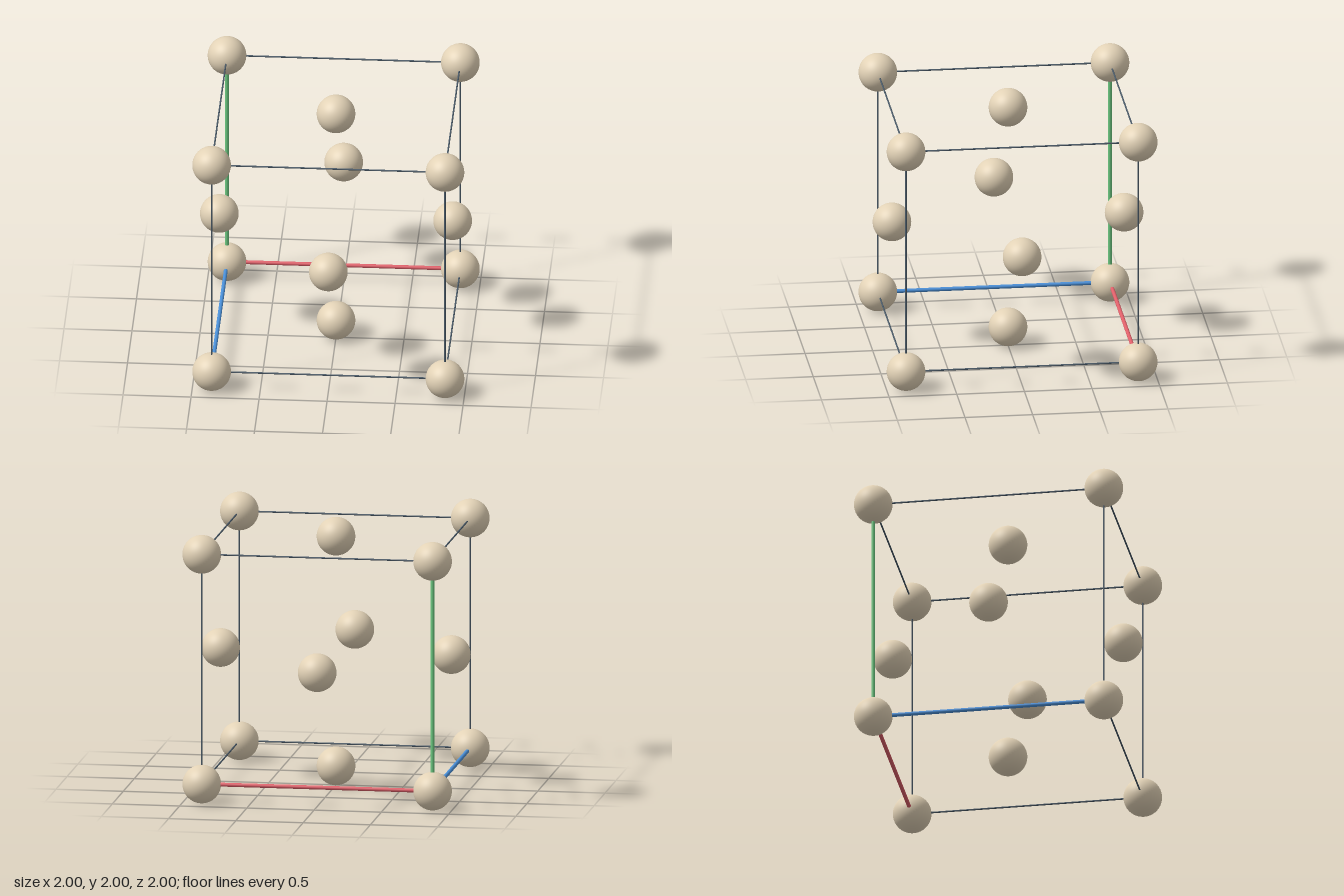
import * as THREE from 'three';

const H = 0.858;          // half the cell edge
const R = 0.142;          // ball radius
const MID = 1;            // height of the cell centre

function material(name, color) {
  const m = new THREE.MeshStandardMaterial({ color });
  m.name = name;
  return m;
}

export function createModel() {
  const model = new THREE.Group();
  model.name = 'cubicCell';

  const sand = material('sand', 0xe2d2b6);
  const slate = material('slate', 0x4a5a68);
  const axisMaterials = {
    x: material('red', 0xe0606a),
    y: material('green', 0x6cc880),
    z: material('blue', 0x4a90d9),
  };

  const cell = new THREE.Group();
  cell.name = 'cell';
  cell.position.y = MID;
  model.add(cell);

  // Balls at the eight corners and six face centres
  const ballGeometry = new THREE.SphereGeometry(R, 48, 32);
  function addBall(name, x, y, z) {
    const ball = new THREE.Mesh(ballGeometry, sand);
    ball.name = name;
    ball.position.set(x, y, z);
    cell.add(ball);
  }
  for (const x of [-H, H])
    for (const y of [-H, H])
      for (const z of [-H, H]) addBall('cornerBall', x, y, z);
  for (const s of [-H, H]) {
    addBall('faceBall', s, 0, 0);
    addBall('faceBall', 0, s, 0);
    addBall('faceBall', 0, 0, s);
  }

  // Twelve edge rods; the three from the origin corner are thick coloured axes
  const edgeGeometry = new THREE.CylinderGeometry(0.006, 0.006, 2 * H, 12);
  const axisGeometry = new THREE.CylinderGeometry(0.0145, 0.0145, 2 * H, 20);
  const others = { x: ['y', 'z'], y: ['x', 'z'], z: ['x', 'y'] };
  for (const axis of ['x', 'y', 'z']) {
    const [u, v] = others[axis];
    for (const a of [-H, H]) {
      for (const b of [-H, H]) {
        const isAxis = a < 0 && b < 0;
        const rod = new THREE.Mesh(
          isAxis ? axisGeometry : edgeGeometry,
          isAxis ? axisMaterials[axis] : slate
        );
        rod.name = isAxis ? axis + 'AxisRod' : 'edgeRod';
        rod.position[u] = a;
        rod.position[v] = b;
        if (axis === 'x') rod.rotation.z = -Math.PI / 2;
        if (axis === 'z') rod.rotation.x = Math.PI / 2;
        cell.add(rod);
      }
    }
  }

  return model;
}
